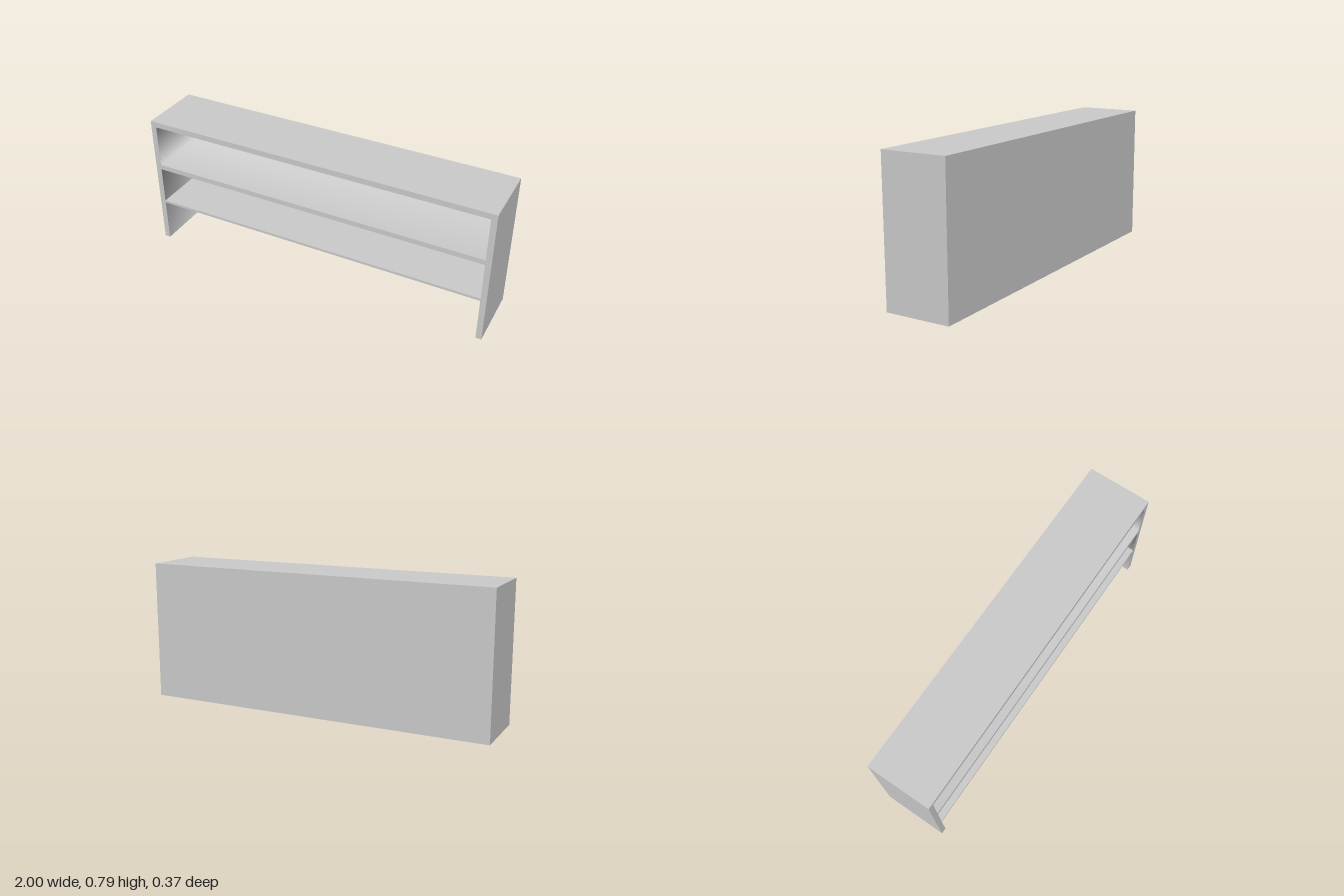
import * as THREE from 'three';
import { mergeVertices } from 'three/addons/utils/BufferGeometryUtils.js';

const W = 2, H = 0.785, D = 0.365;   // overall size
const T = 0.032;                     // board thickness
const BAY_TOP = 0.48;                // underside of the fixed shelf
const material = new THREE.MeshStandardMaterial({ color: 0xcccccc });

// Board given by its lower and upper corners
function board(name, x0, x1, y0, y1, z0, z1) {
  const geometry = new THREE.BoxGeometry(x1 - x0, y1 - y0, z1 - z0);
  geometry.translate((x0 + x1) / 2, (y0 + y1) / 2, (z0 + z1) / 2);
  const mesh = new THREE.Mesh(geometry, material);
  mesh.name = name;
  return mesh;
}

// Inward-facing lining of a bay, open at the front, with softly shaded corners
function lining(name, y0, y1, hasFloor) {
  const gap = 0.001;
  const mesh = board(name, -W / 2 + T + gap, W / 2 - T - gap, y0, y1 - gap, -D / 2 + T + gap, D / 2);
  const source = mesh.geometry;
  const index = [];
  // Sides of a box come in the order +x, -x, +y, -y, +z, -z
  for (const side of hasFloor ? [0, 1, 2, 3, 5] : [0, 1, 2, 5]) {
    for (let i = side * 6; i < side * 6 + 6; i += 3) {
      index.push(source.index.getX(i), source.index.getX(i + 2), source.index.getX(i + 1));
    }
  }
  source.setIndex(index);
  source.clearGroups();
  source.deleteAttribute('normal');
  source.deleteAttribute('uv');
  mesh.geometry = mergeVertices(source);
  mesh.geometry.computeVertexNormals();
  return mesh;
}

export function createModel() {
  const group = new THREE.Group();
  group.name = 'shelfUnit';
  const x = W / 2, z = D / 2, inner = x - T;

  // Carcass
  group.add(
    board('rightSide', -x, -inner, 0, H, -z, z),
    board('leftSide', inner, x, 0, H, -z, z),
    board('topBoard', -inner, inner, H - T, H, -z, z),
    board('backPanel', -inner, inner, 0, H - T, -z, -z + T),
    board('fixedShelf', -inner, inner, BAY_TOP, BAY_TOP + 0.029, -z + T, z),
  );

  // Bay linings
  group.add(
    lining('upperBayLining', BAY_TOP + 0.03, H - T, true),
    lining('lowerBayLining', 0, BAY_TOP, false),
  );

  // Thin shelf across the lower bay
  group.add(board('lowerShelf', -inner, inner, 0.25, 0.265, -z + T, z));
  return group;
}
